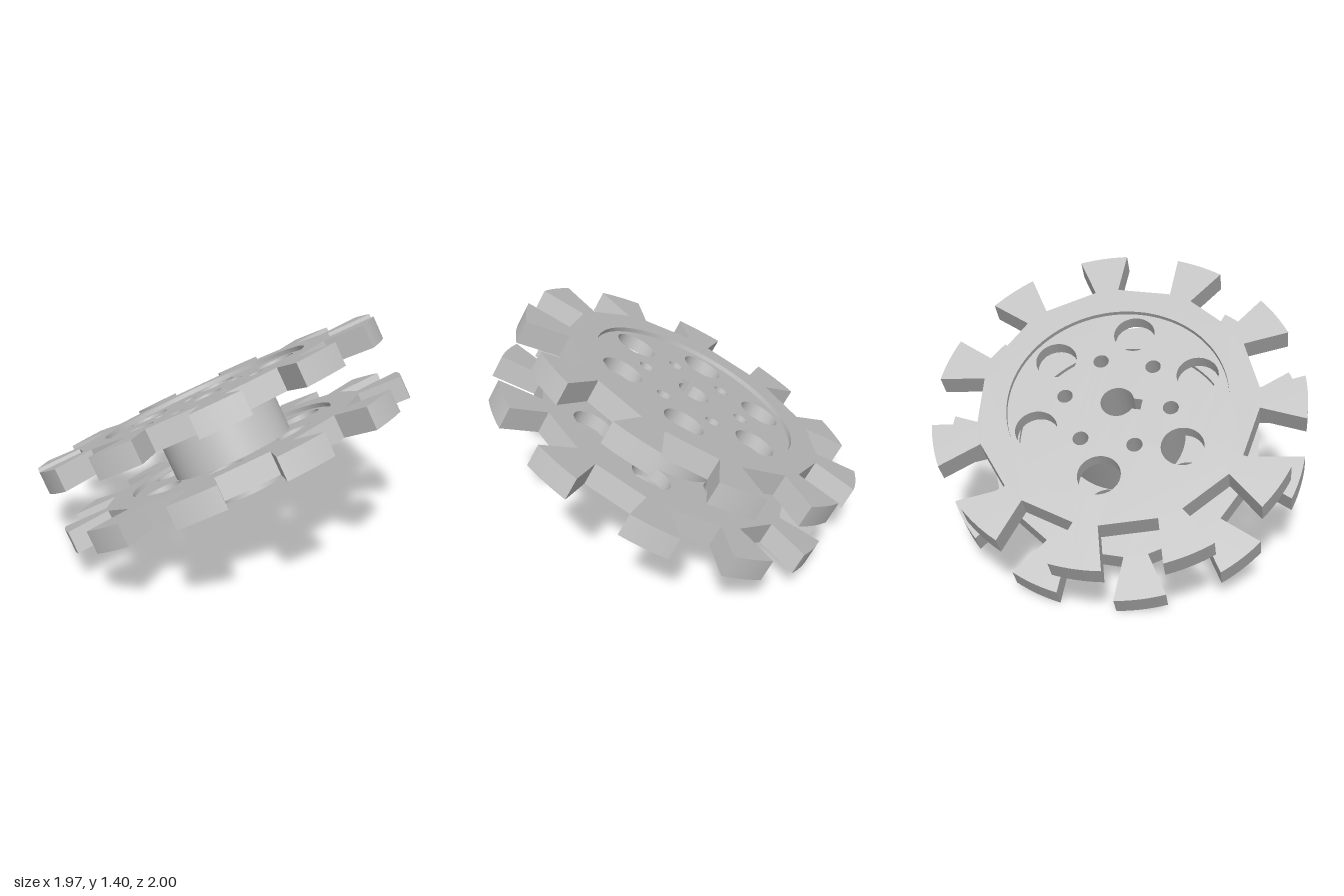
import * as THREE from 'three';
import { toCreasedNormals } from 'three/addons/utils/BufferGeometryUtils.js';

const TEETH = 11, TILT = Math.PI / 6;
const THICK = 0.125, RECESS = 0.025, GAP = 0.348; // GAP: spacing of the two discs
const WEB = THICK - 2 * RECESS;
const steel = new THREE.MeshStandardMaterial({ color: 0xbfbfbf });
steel.name = 'steel grey';

const circle = (Kind, x, y, r) => new Kind().absarc(x, y, r, 0, Math.PI * 2, false);

// Extrude along local y, from height y
function plate(name, shape, y, depth, curveSegments) {
  const geo = new THREE.ExtrudeGeometry(shape, { depth, bevelEnabled: false, curveSegments });
  geo.rotateX(-Math.PI / 2);
  const mesh = new THREE.Mesh(toCreasedNormals(geo, 0.5), steel);
  mesh.name = name;
  mesh.position.y = y;
  return mesh;
}

// Ring of six round holes
function holeRing(ringRadius, holeRadius, start) {
  return Array.from({ length: 6 }, (_, i) => {
    const a = start + i * Math.PI / 3;
    return circle(THREE.Path, ringRadius * Math.cos(a), ringRadius * Math.sin(a), holeRadius);
  });
}
const boltHoles = () => holeRing(0.29, 0.042, Math.PI / 6);

// Shaft bore with a square keyway
function bore() {
  const r = 0.09, w = 0.032, a = Math.acos(w / r);
  const p = new THREE.Path();
  p.moveTo(w, -0.132);
  p.lineTo(w, -r * Math.sin(a));
  p.absarc(0, 0, r, -a, Math.PI + a, false);
  p.lineTo(-w, -0.132);
  p.closePath();
  return p;
}

// Toothed outline cut by parallel-sided slots
function rimShape(start) {
  const half = 0.15, floor = 0.74, b = Math.asin(half), pitch = Math.PI * 2 / TEETH;
  const s = new THREE.Shape();
  for (let i = 0; i < TEETH; i++) {
    const a = start + i * pitch, c = Math.cos(a), n = Math.sin(a);
    const lo = [floor * c + half * n, floor * n - half * c];
    if (i === 0) s.moveTo(...lo);
    else s.lineTo(...lo);
    s.lineTo(floor * c - half * n, floor * n + half * c);
    s.absarc(0, 0, 1, a + b, a + pitch - b, false);
  }
  s.closePath();
  s.holes.push(circle(THREE.Path, 0, 0, 0.595));
  return s;
}

// Toothed rim with a thinner, perforated web
function disc(name, y, start) {
  const g = new THREE.Group();
  g.name = name;
  g.position.y = y;
  const web = circle(THREE.Shape, 0, 0, 0.597);
  web.holes.push(bore(), ...boltHoles(), ...holeRing(0.455, 0.113, 0));
  g.add(plate('toothedRim', rimShape(start), 0, THICK, 48));
  g.children[0].geometry.computeBoundingBox();
  g.add(plate('web', web, RECESS, WEB, 48));
  return g;
}

export function createModel() {
  const model = new THREE.Group();
  model.name = 'doubleToothedWheel';
  const wheel = new THREE.Group();
  wheel.name = 'tiltedWheel';
  wheel.add(disc('lowerDisc', 0, Math.PI), disc('upperDisc', GAP, 0));

  // Spacer between the discs, bolt holes running through
  const spacer = circle(THREE.Shape, 0, 0, 0.34);
  spacer.holes.push(bore(), ...boltHoles());
  wheel.add(plate('spacer', spacer, RECESS + WEB, GAP - WEB, 48));

  // Hub below the lower disc
  const hub = circle(THREE.Shape, 0, 0, 0.196);
  hub.holes.push(bore());
  wheel.add(plate('hub', hub, -0.12, 0.12 + RECESS, 48));

  wheel.rotation.z = TILT;
  wheel.position.set(0.118, 0.4945, 0);
  model.add(wheel);
  return model;
}
